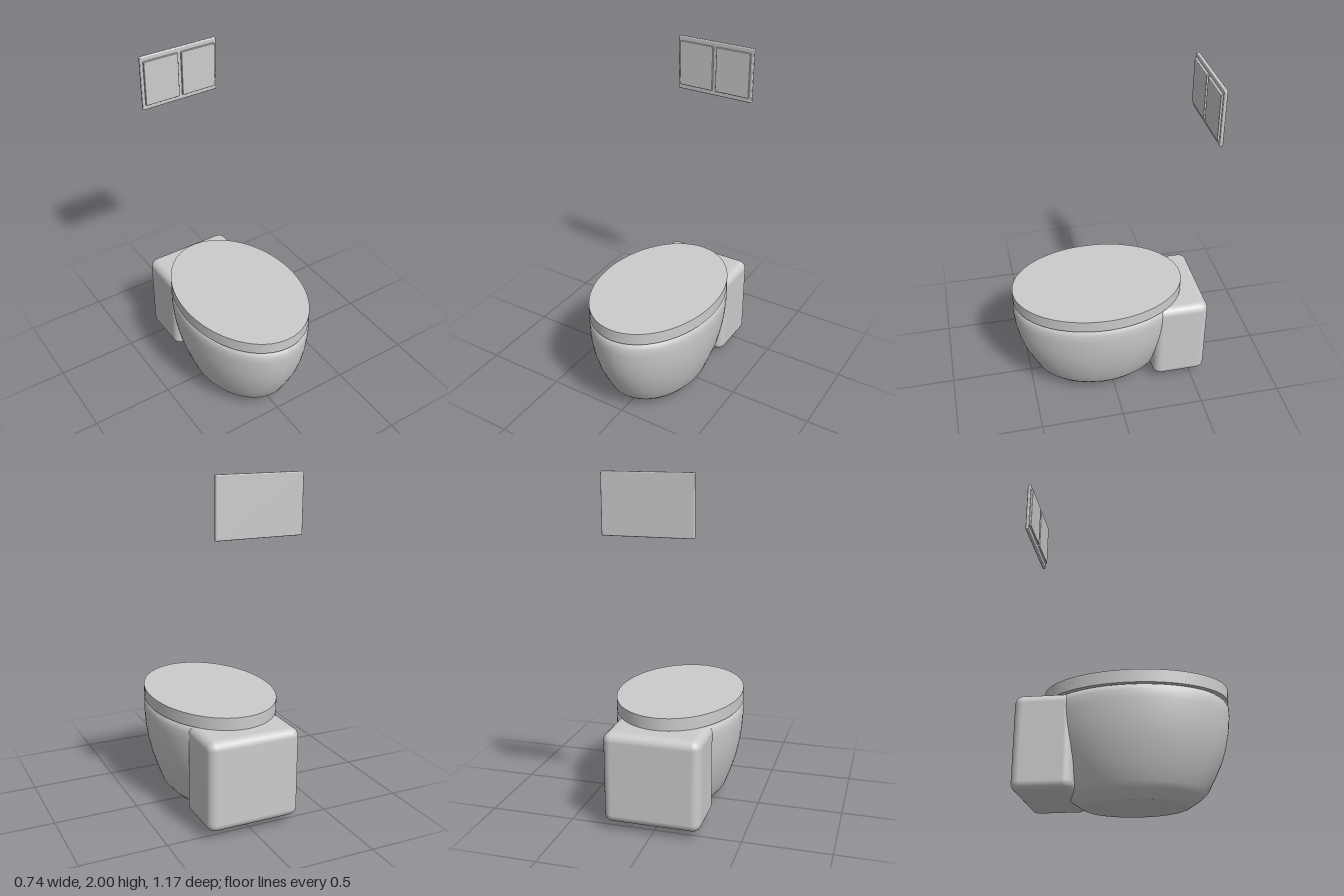
import * as THREE from 'three';
import { RoundedBoxGeometry } from 'three/addons/geometries/RoundedBoxGeometry.js';

export function createModel() {
  const model = new THREE.Group();
  const ceramic = new THREE.MeshStandardMaterial({ color: 0xcccccc });
  ceramic.name = 'ceramic';

  function add(name, geometry, x, y, z) {
    const mesh = new THREE.Mesh(geometry, ceramic);
    mesh.name = name;
    mesh.position.set(x, y, z);
    model.add(mesh);
    return mesh;
  }

  // Shared oval plan of bowl and lid
  const centreZ = 0.058, stretch = 1.409;

  // Bowl: closed profile turned, then stretched front to back
  const profile = [
    [0, 0], [0.2, 0], [0.212, 0.008], [0.256, 0.05], [0.278, 0.08], [0.308, 0.16],
    [0.337, 0.25], [0.356, 0.34], [0.367, 0.42], [0.372, 0.5], [0.372, 0.545],
    [0.364, 0.568], [0.352, 0.584], [0.34, 0.588], [0, 0.588],
  ].map(([r, y]) => new THREE.Vector2(r, y));
  const bowl = new THREE.LatheGeometry(profile, 64);
  bowl.scale(1, 1, stretch);
  bowl.computeVertexNormals();
  add('bowl', bowl, 0, 0, centreZ);

  // Flat oval lid
  const lid = new THREE.CylinderGeometry(0.371, 0.371, 0.073, 64);
  lid.scale(1, 1, stretch);
  add('lid', lid, 0, 0.6245, centreZ);

  // Rounded rear housing
  add('rearHousing', new RoundedBoxGeometry(0.56, 0.537, 0.332, 5, 0.05), 0, 0.3165, -0.416);

  // Wall flush plate with two push buttons
  add('flushPlate', new RoundedBoxGeometry(0.494, 0.327, 0.02, 3, 0.006), 0, 1.8365, -0.573);
  for (const side of [-1, 1]) {
    add(side > 0 ? 'leftButton' : 'rightButton',
      new RoundedBoxGeometry(0.22, 0.27, 0.02, 2, 0.004), side * 0.121, 1.838, -0.561);
  }
  return model;
}
